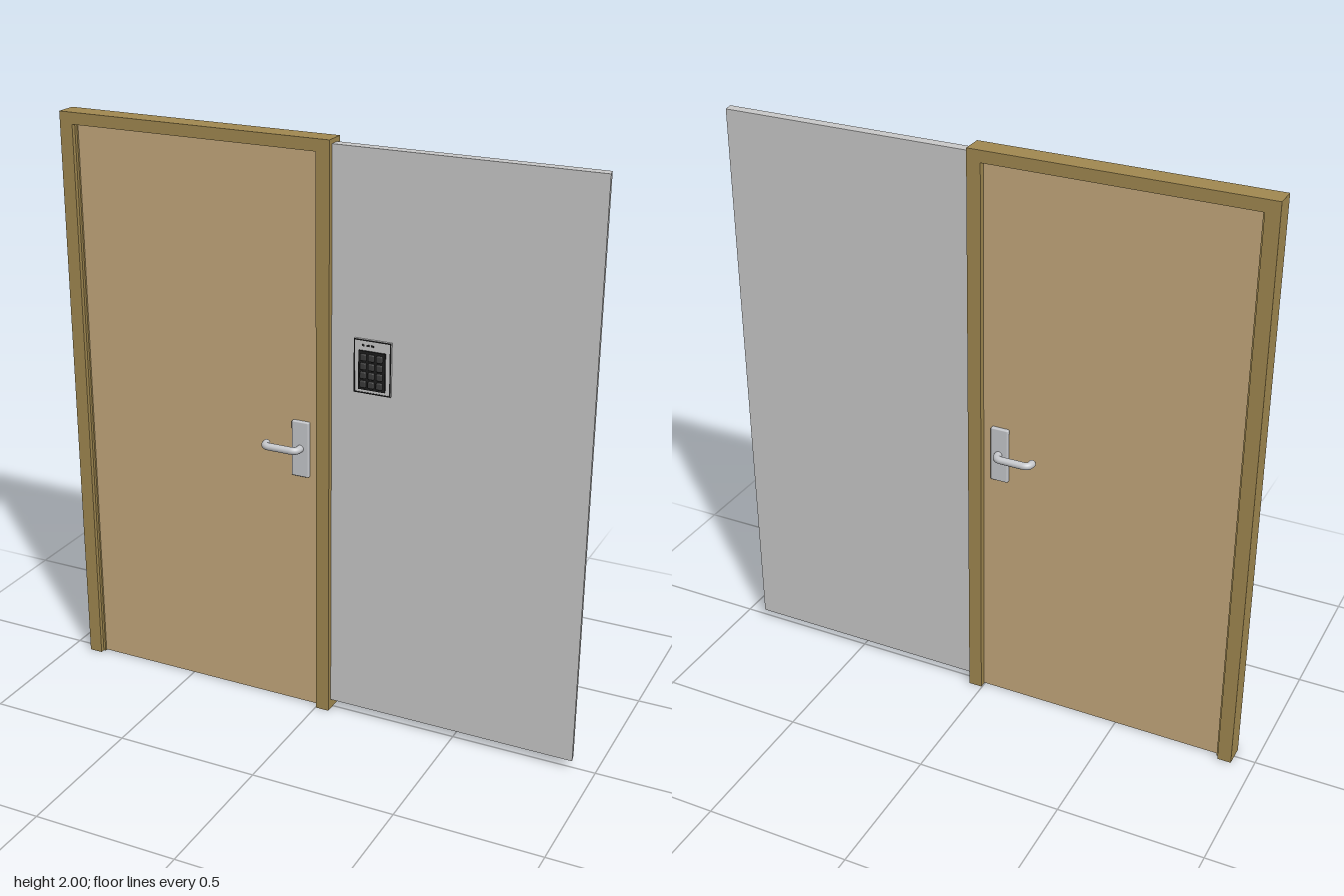
import * as THREE from 'three';
import { RoundedBoxGeometry } from 'three/addons/geometries/RoundedBoxGeometry.js';

const material = (name, color) => {
  const m = new THREE.MeshStandardMaterial({ color });
  m.name = name;
  return m;
};

export function createModel() {
  const root = new THREE.Group();
  root.name = 'doorWithSidePanel';
  const frameWood = material('frame wood', 0xa08850);
  const doorWood = material('door wood', 0xc4a87c);
  const wallGrey = material('wall grey', 0xc8c8c8);
  const steel = material('handle steel', 0xc6c8cc);
  const darkPlastic = material('dark plastic', 0x1c1c1c);
  const keyGrey = material('key grey', 0x3a3a3a);

  const add = (parent, name, geometry, mat) => {
    const mesh = new THREE.Mesh(geometry, mat);
    mesh.name = name;
    parent.add(mesh);
    return mesh;
  };
  // Box given by its limits on each axis
  const box = (parent, name, mat, [x0, x1], [y0, y1], [z0, z1]) => {
    const mesh = add(parent, name, new THREE.BoxGeometry(x1 - x0, y1 - y0, z1 - z0), mat);
    mesh.position.set((x0 + x1) / 2, (y0 + y1) / 2, (z0 + z1) / 2);
    return mesh;
  };

  // Frame: one arch-shaped extrusion
  const arch = new THREE.Shape();
  [[-0.927, 0], [-0.88, 0], [-0.88, 1.96], [0.003, 1.96], [0.003, 0], [0.05, 0], [0.05, 2], [-0.927, 2]]
    .forEach(([x, y], i) => (i ? arch.lineTo(x, y) : arch.moveTo(x, y)));
  const frame = add(root, 'doorFrame',
    new THREE.ExtrudeGeometry(arch, { depth: 0.074, bevelEnabled: false }), frameWood);
  frame.position.z = -0.037;
  box(root, 'hingeStop', frameWood, [-0.88, -0.872], [0, 1.96], [-0.022, 0.022]);

  // Door leaf, set back from both frame faces
  box(root, 'doorLeaf', doorWood, [-0.872, 0.003], [0.003, 1.96], [-0.015, 0.015]);

  // Side panel with a slightly slanted free edge
  const outline = new THREE.Shape();
  outline.moveTo(0.05, -0.018);
  outline.lineTo(0.925, -0.018);
  outline.lineTo(0.918, 0.018);
  outline.lineTo(0.05, 0.018);
  const panelGeo = new THREE.ExtrudeGeometry(outline, { depth: 1.95, bevelEnabled: false });
  panelGeo.rotateX(-Math.PI / 2);
  const panel = add(root, 'sidePanel', panelGeo, wallGrey);
  panel.position.y = 0.035;

  // Lever handle: plate and bent bar, one on each face
  const bar = new THREE.CurvePath();
  const p = (x, z) => new THREE.Vector3(x, 0.965, z);
  bar.add(new THREE.LineCurve3(p(-0.058, 0.015), p(-0.058, 0.038)));
  bar.add(new THREE.QuadraticBezierCurve3(p(-0.058, 0.038), p(-0.058, 0.06), p(-0.08, 0.06)));
  bar.add(new THREE.LineCurve3(p(-0.08, 0.06), p(-0.158, 0.06)));
  bar.add(new THREE.QuadraticBezierCurve3(p(-0.158, 0.06), p(-0.18, 0.06), p(-0.18, 0.038)));
  bar.add(new THREE.LineCurve3(p(-0.18, 0.038), p(-0.18, 0.032)));
  const barGeo = new THREE.TubeGeometry(bar, 48, 0.0125, 14, false);
  for (const side of [1, -1]) {
    const handle = new THREE.Group();
    handle.name = side > 0 ? 'frontHandle' : 'backHandle';
    const plate = add(handle, 'handlePlate', new RoundedBoxGeometry(0.062, 0.195, 0.016, 2, 0.004), steel);
    plate.position.set(-0.059, 0.962, side * 0.022);
    const lever = add(handle, 'lever', barGeo, steel);
    lever.scale.z = side;
    const tip = add(handle, 'leverEnd', new THREE.SphereGeometry(0.0125, 14, 10), steel);
    tip.position.set(-0.18, 0.965, side * 0.032);
    tip.scale.z = 0.4;
    root.add(handle);
  }

  // Keypad: backing plate, dark key field, status lights and keys
  const keypad = new THREE.Group();
  keypad.name = 'keypad';
  keypad.position.set(0.196, 1.287, 0.018);
  root.add(keypad);
  box(keypad, 'keypadPlate', wallGrey, [-0.064, 0.064], [-0.09, 0.09], [0, 0.008]);
  const rim = new THREE.Shape();
  rim.moveTo(-0.064, -0.09).lineTo(0.064, -0.09).lineTo(0.064, 0.09).lineTo(-0.064, 0.09);
  const hole = new THREE.Path();
  hole.moveTo(-0.06, -0.086).lineTo(-0.06, 0.086).lineTo(0.06, 0.086).lineTo(0.06, -0.086);
  rim.holes.push(hole);
  const rimMesh = add(keypad, 'keypadRim',
    new THREE.ExtrudeGeometry(rim, { depth: 0.0015, bevelEnabled: false }), darkPlastic);
  rimMesh.position.z = 0.008;
  box(keypad, 'keyField', darkPlastic, [-0.046, 0.046], [-0.076, 0.054], [0.008, 0.014]);
  const keyGeo = new RoundedBoxGeometry(0.021, 0.023, 0.012, 2, 0.004);
  for (let row = 0; row < 4; row++) {
    for (let col = 0; col < 3; col++) {
      const key = add(keypad, 'key', keyGeo, keyGrey);
      key.position.set((col - 1) * 0.028, 0.034 - row * 0.03, 0.016);
    }
  }
  for (let i = -1; i <= 1; i++) {
    box(keypad, 'statusLight', darkPlastic, [i * 0.016 - 0.005 - 0.015, i * 0.016 - 0.011],
      [0.068, 0.074], [0.008, 0.01]);
  }

  return root;
}
